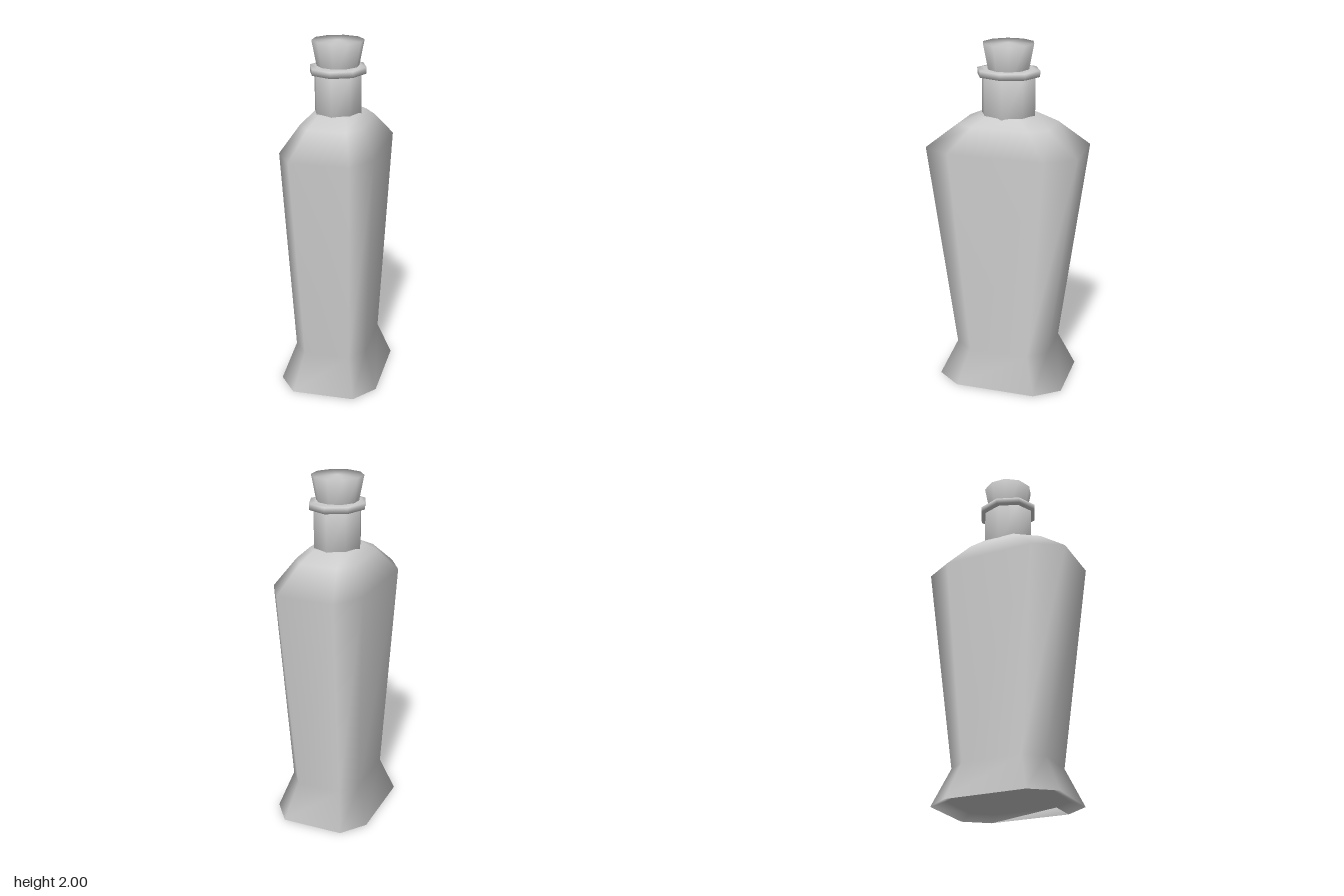
import * as THREE from 'three';

const material = new THREE.MeshStandardMaterial({ color: 0xcccccc });

// Unit outlines in x/z, scaled per level.
const regular = (n) => Array.from({ length: n }, (_, i) => {
  const a = Math.PI / 2 + (i / n) * Math.PI * 2;
  return [Math.cos(a), Math.sin(a)];
});
const cx = 0.625, cz = 0.625;
const chamfered = [[1, cz], [cx, 1], [-cx, 1], [-1, cz], [-1, -cz], [-cx, -1], [cx, -1], [1, -cz]];

// Smooth closed loft: levels are [y, half width, half depth], from bottom to top.
function loft(name, outline, levels) {
  const n = outline.length, pos = [], index = [];
  for (const [y, hx, hz] of levels) {
    for (const [x, z] of outline) pos.push(x * hx, y, z * hz);
  }
  const last = (levels.length - 1) * n, bottom = levels.length * n, top = bottom + 1;
  pos.push(0, levels[0][0], 0, 0, levels[levels.length - 1][0], 0);
  for (let j = 0; j < n; j++) {
    const k = (j + 1) % n;
    for (let r = 0; r < last; r += n) {
      index.push(r + j, r + n + j, r + k, r + k, r + n + j, r + n + k);
    }
    index.push(bottom, j, k, top, last + k, last + j);
  }
  const geometry = new THREE.BufferGeometry();
  geometry.setAttribute('position', new THREE.Float32BufferAttribute(pos, 3));
  geometry.setIndex(index);
  geometry.computeVertexNormals();
  const mesh = new THREE.Mesh(geometry, material);
  mesh.name = name;
  return mesh;
}

export function createModel() {
  const bottle = new THREE.Group();
  bottle.name = 'bottle';

  // Body: recessed underside, flared foot, widening sides, sloped shoulder
  bottle.add(loft('body', chamfered, [
    [0.03, 0.225, 0.3],
    [0, 0.285, 0.375],
    [0.21, 0.21, 0.278],
    [1.42, 0.263, 0.434],
    [1.555, 0.175, 0.26],
    [1.605, 0.125, 0.15],
    [1.61, 0.06, 0.08],
  ]));

  // Neck, sunk slightly into the shoulder
  bottle.add(loft('neck', regular(8), [
    [1.55, 0.133, 0.154],
    [1.83, 0.133, 0.154],
  ]));

  // Lip ring around the mouth
  bottle.add(loft('lip', regular(8), [
    [1.82, 0.125, 0.145],
    [1.822, 0.16, 0.18],
    [1.856, 0.16, 0.18],
    [1.86, 0.125, 0.145],
  ]));

  // Tapered stopper
  bottle.add(loft('stopper', regular(10), [
    [1.78, 0.102, 0.102],
    [2, 0.145, 0.145],
  ]));

  return bottle;
}
